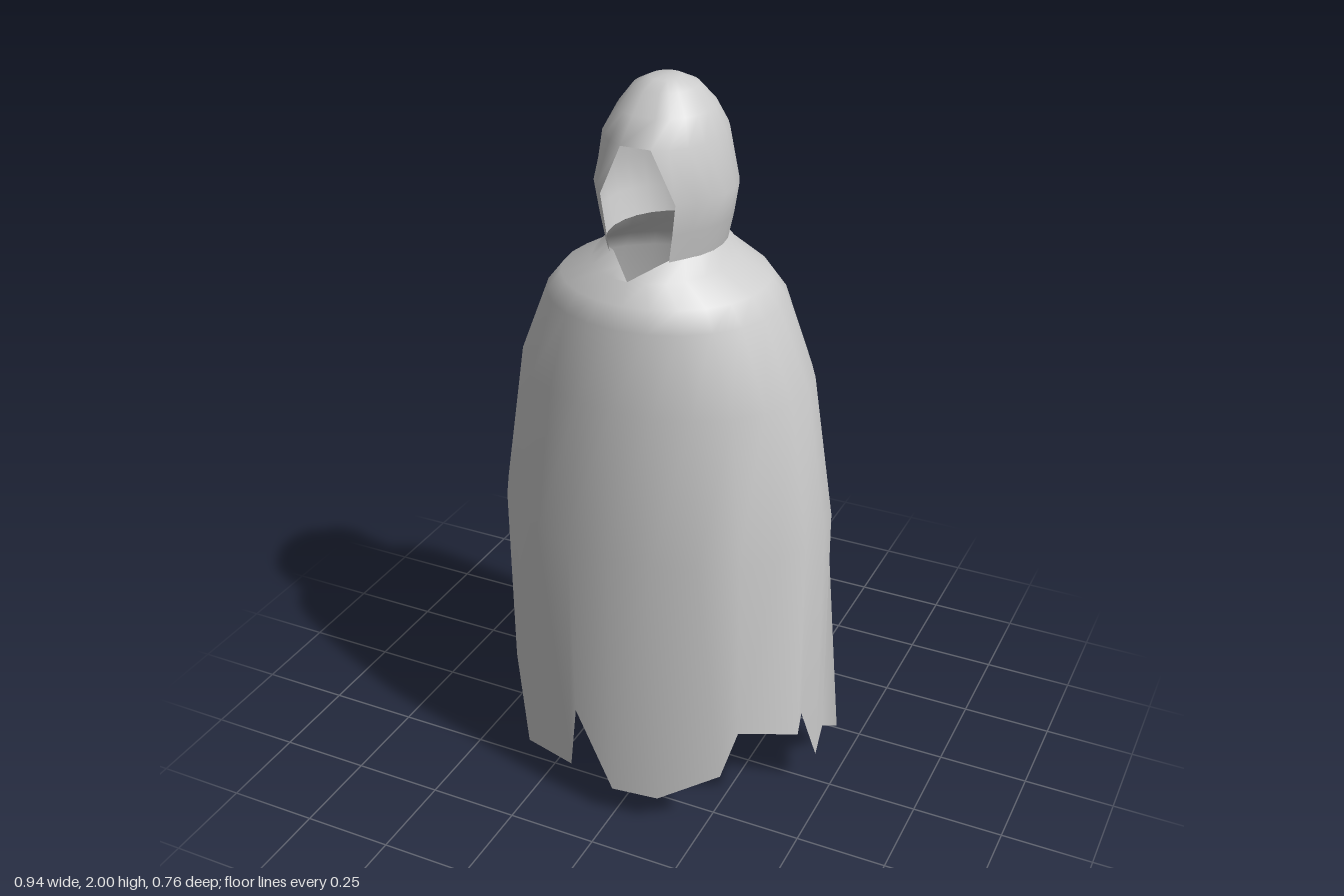
import * as THREE from 'three';

const material = new THREE.MeshStandardMaterial({ color: 0xcccccc, side: THREE.DoubleSide });

// Skin equal-length rings of points, ordered bottom to top.
// closes(row) says whether the last column joins the first in that row.
function skin(name, rings, closes = () => true) {
  const n = rings[0].length;
  const index = [];
  for (let r = 0; r < rings.length - 1; r++) {
    for (let k = 0; k < n; k++) {
      if (k === n - 1 && !closes(r)) continue;
      const a = r * n + k, b = r * n + (k + 1) % n;
      index.push(a, b, b + n, a, b + n, a + n);
    }
  }
  const geometry = new THREE.BufferGeometry();
  geometry.setAttribute('position', new THREE.Float32BufferAttribute(rings.flat(2), 3));
  geometry.setIndex(index);
  geometry.computeVertexNormals();
  const mesh = new THREE.Mesh(geometry, material);
  mesh.name = name;
  return mesh;
}

// Point on an oval ring; angle 0 is the front, a quarter turn is +x
function oval([y, rx, front, back], a) {
  return [rx * Math.sin(a), y, (front + back) / 2 + (front - back) / 2 * Math.cos(a)];
}

function makeCloak() {
  const columns = 24;
  // Ragged hem, counted from the front centre towards +x: x, y, z
  const hem = [
    [0, 0.09, 0.375], [0.13, 0.09, 0.36], [0.3, 0.2, 0.325], [0.325, 0.31, 0.265],
    [0.47, 0.31, 0.2], [0.445, 0.31, 0.11], [0.46, 0.11, 0.02], [0.445, 0.14, -0.07],
    [0.46, 0.085, -0.155], [0.33, 0.31, -0.235], [0.24, 0.055, -0.305], [0.14, 0.1, -0.325],
    [0.02, 0.2, -0.38], [-0.11, 0.31, -0.325], [-0.225, 0.2, -0.315], [-0.32, 0.24, -0.25],
    [-0.39, 0.13, -0.21], [-0.475, 0, -0.145], [-0.455, 0.2, 0], [-0.435, 0.31, 0.11],
    [-0.39, 0.31, 0.2], [-0.32, 0.075, 0.27], [-0.14, 0.11, 0.35], [-0.115, 0.31, 0.36],
  ];
  // Height, half width, front z, back z
  const profile = [
    [0.84, 0.455, 0.378, -0.333],
    [1.24, 0.395, 0.335, -0.29],
    [1.45, 0.31, 0.312, -0.265],
    [1.5, 0.27, 0.28, -0.235],
    [1.55, 0.18, 0.245, -0.195],
    [1.59, 0.15, 0.19, -0.155],
  ];
  const rings = profile.map((p) =>
    Array.from({ length: columns }, (_, k) => oval(p, k / columns * Math.PI * 2)));
  // V-shaped notch at the throat
  const [collar, neck] = rings.slice(-2);
  neck[0] = [...collar[0]];
  for (const [k, side] of [[1, 2], [columns - 1, columns - 2]]) {
    neck[k] = neck[side].map((v, i) => (v + collar[0][i]) / 2);
  }
  return skin('cloak', [hem, ...rings]);
}

function makeHood() {
  const columns = 21;
  // Height, half width, front z, back z, half width of the face opening
  const profile = [
    [1.59, 0.15, 0.19, -0.155, 0.08],
    [1.66, 0.166, 0.194, -0.157, 0.09],
    [1.74, 0.18, 0.2, -0.158, 0.1],
    [1.87, 0.15, 0.2, -0.155, 0.04],
    [1.93, 0.12, 0.15, -0.115, 0.03],
    [1.98, 0.08, 0.108, -0.065, 0.02],
    [2, 0.04, 0.07, -0.02, 0.01],
    [2, 0, 0.025, 0.025, 0],
  ];
  const rings = profile.map((p, r) => {
    const start = p[1] ? Math.asin(p[4] / p[1]) : 0;
    return Array.from({ length: columns }, (_, k) => {
      const point = oval(p, start + k / (columns - 1) * 2 * (Math.PI - start));
      // brim pushed forward along the face opening
      if (r < 3 && (k === 0 || k === columns - 1)) point[2] += 0.015;
      return point;
    });
  });
  // The front stays open below the brow
  return skin('hood', rings, (row) => row >= 3);
}

export function createModel() {
  const group = new THREE.Group();
  group.name = 'hoodedCloak';
  group.add(makeCloak(), makeHood());
  return group;
}
